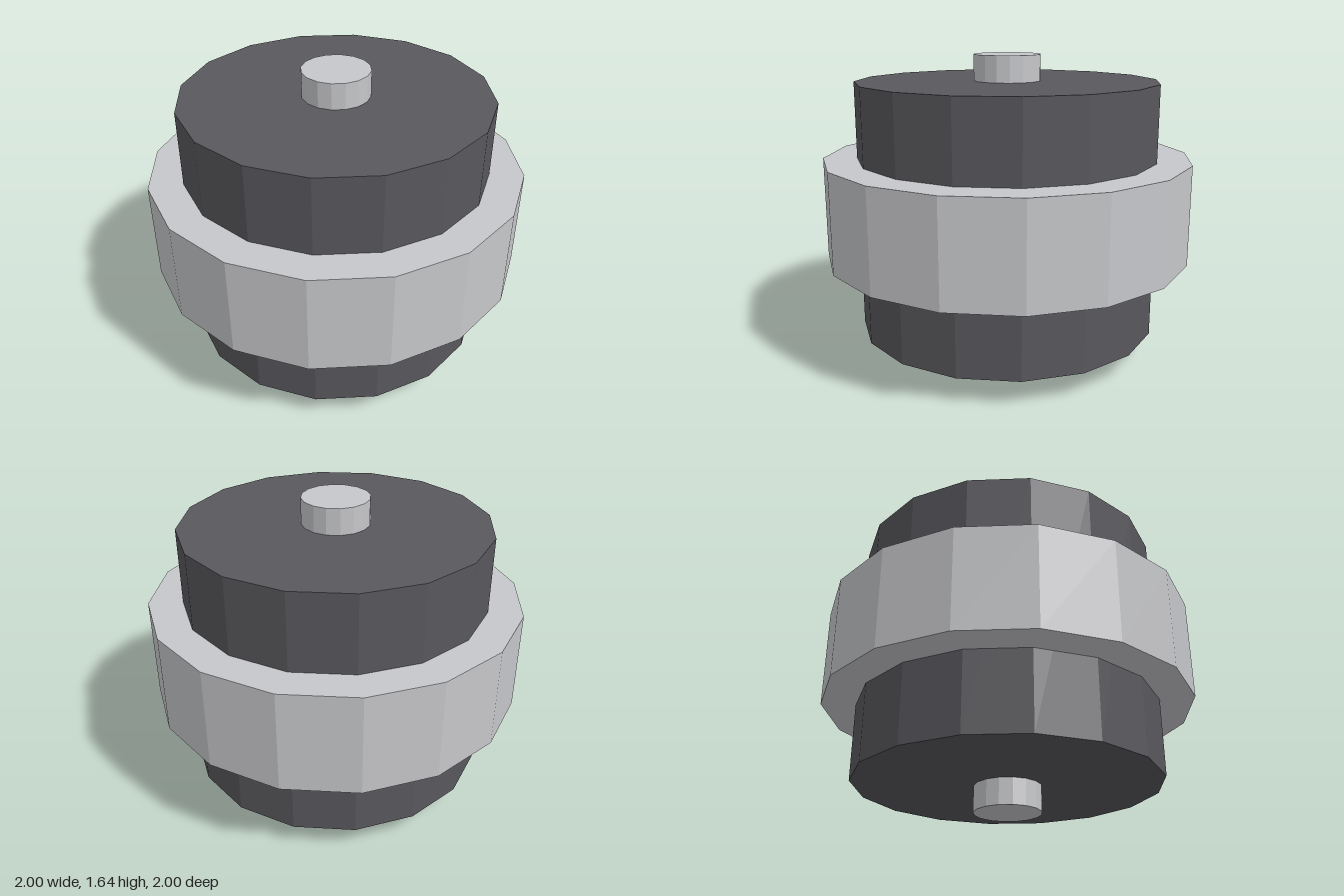
import * as THREE from 'three';

const SIDES = 16;
const MID_Y = 0.82;

export function createModel() {
  const group = new THREE.Group();
  const lightMetal = new THREE.MeshStandardMaterial({ color: 0xc6c7ca });
  lightMetal.name = 'lightMetal';
  lightMetal.flatShading = true;
  const darkMetal = new THREE.MeshStandardMaterial({ color: 0x58585d });
  darkMetal.name = 'darkMetal';
  darkMetal.flatShading = true;

  // Concentric drums, all centred on the same height
  const addDrum = (name, radius, height, material) => {
    const mesh = new THREE.Mesh(new THREE.CylinderGeometry(radius, radius, height, SIDES), material);
    mesh.name = name;
    mesh.position.y = MID_Y;
    group.add(mesh);
  };

  addDrum('axle', 0.18, 1.64, lightMetal);
  addDrum('drumBody', 0.818, 1.36, darkMetal);
  addDrum('outerBand', 1, 0.54, lightMetal);

  return group;
}
